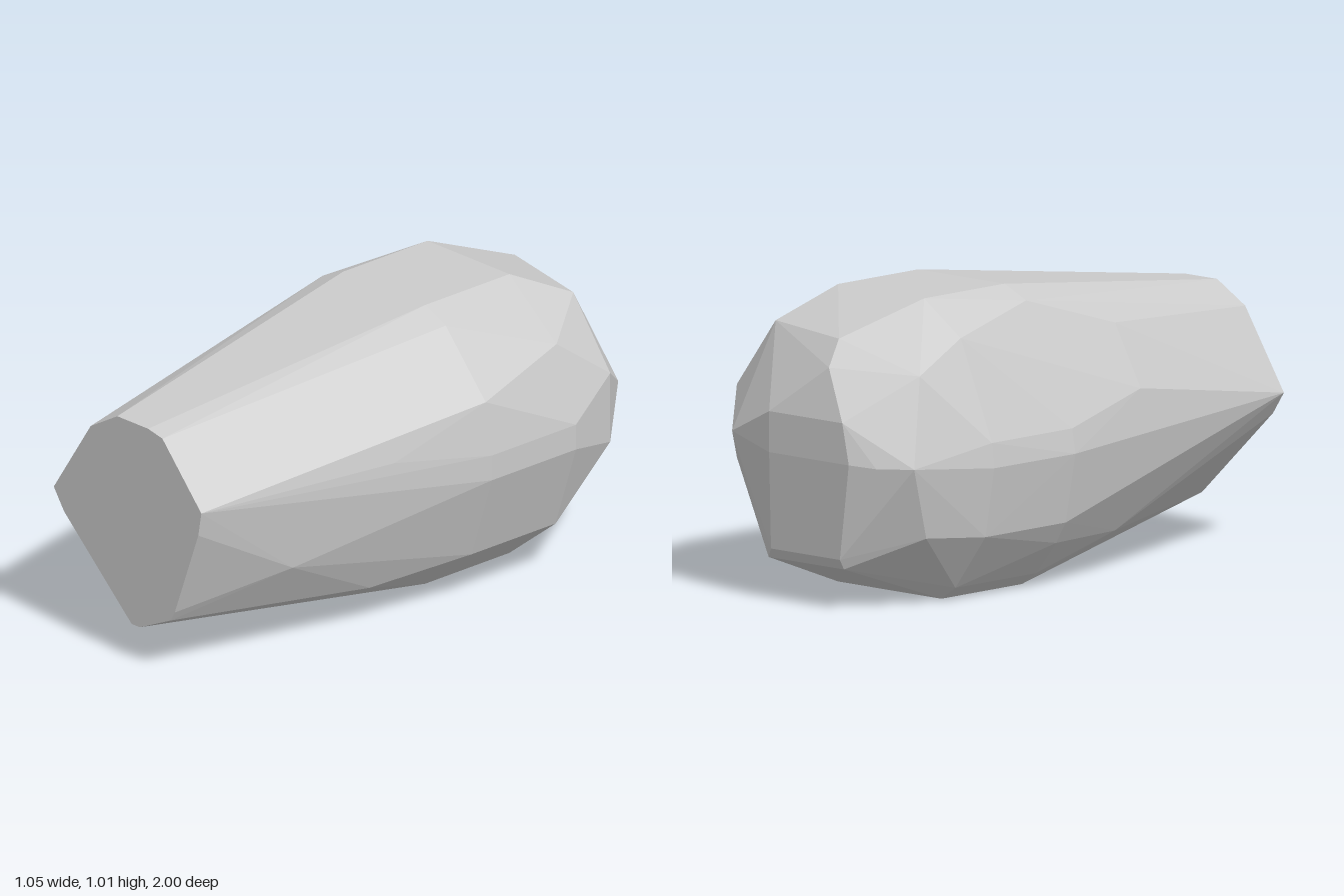
import * as THREE from 'three';
import { ConvexGeometry } from 'three/addons/geometries/ConvexGeometry.js';

// Cross-sections of a faceted stone, each at a depth z with its [x, y] corners
const sections = [
  // flat cut front end
  { z: 1, pts: [[-0.07, 0.865], [0.08, 0.865], [0.15, 0.85], [0.34, 0.635], [0.325, 0.55], [0.21, 0.235],
    [0.19, 0.2], [0.04, 0.13], [0, 0.13], [-0.33, 0.44], [-0.38, 0.515], [-0.2, 0.79]] },
  // tapering neck
  { z: 0.6, pts: [[0.365, 0.33]] },
  { z: 0.22, pts: [[0.46, 0.63], [0.34, 0.14], [0.06, 0.008], [0, 0.008], [-0.34, 0.14], [-0.46, 0.64], [-0.34, 0.85]] },
  // widest part, start and end
  { z: -0.17, pts: [[-0.2, 1.015], [0.2, 1.015], [0.3, 0.97], [0.495, 0.75], [0.525, 0.565], [0.525, 0.475], [0.425, 0.175],
    [0.2, 0], [-0.28, 0], [-0.345, 0.045], [-0.44, 0.16], [-0.485, 0.235], [-0.53, 0.475], [-0.515, 0.56], [-0.3, 0.97]] },
  { z: -0.56, pts: [[-0.2, 1.015], [0.2, 1.015], [0.43, 0.83], [0.525, 0.565], [0.525, 0.475], [0.425, 0.175],
    [0.2, 0], [-0.28, 0], [-0.345, 0.045], [-0.485, 0.235], [-0.525, 0.475], [-0.515, 0.56], [-0.37, 0.9]] },
  // rounded back end
  { z: -0.78, pts: [[0.28, 0.91], [0.46, 0.67], [0.46, 0.42], [-0.42, 0.25], [-0.39, 0.8]] },
  { z: -0.87, pts: [[-0.1, 0.905], [-0.45, 0.5]] },
  { z: -0.95, pts: [[-0.13, 0.82], [0.32, 0.55], [0.15, 0.14], [-0.2, 0.14], [-0.35, 0.5]] },
  { z: -0.97, pts: [[0.12, 0.175], [-0.2, 0.175]] },
  { z: -1, pts: [[0.1, 0.65], [0.1, 0.51], [-0.27, 0.51], [-0.24, 0.65]] },
];

export function createModel() {
  const group = new THREE.Group();
  group.name = 'facetedStone';
  const points = sections.flatMap(({ z, pts }) => pts.map(([x, y]) => new THREE.Vector3(x, y, z)));
  const material = new THREE.MeshStandardMaterial({ color: 0xcccccc, flatShading: true });
  const stone = new THREE.Mesh(new ConvexGeometry(points), material);
  stone.name = 'stoneBody';
  group.add(stone);
  return group;
}
